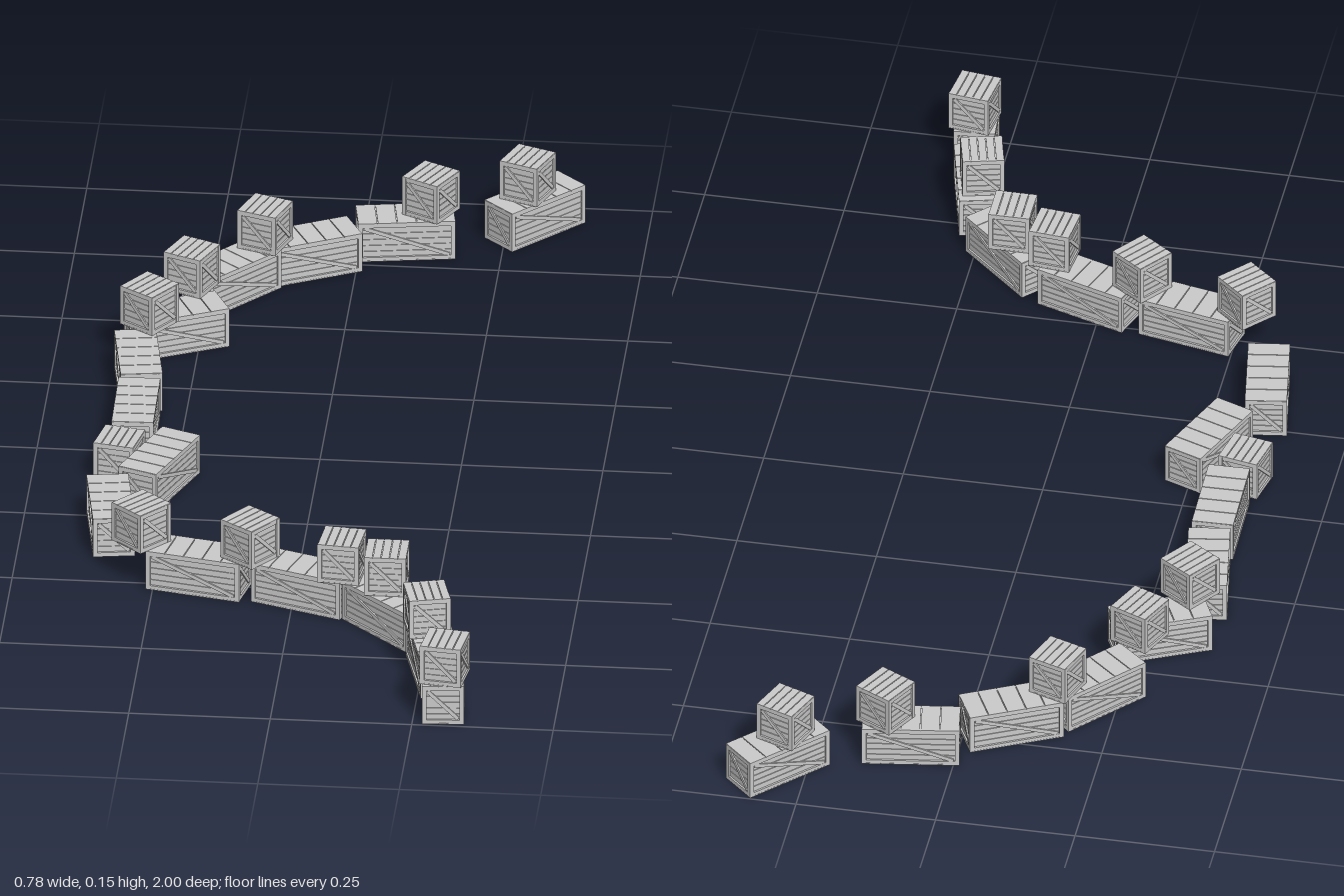
import * as THREE from 'three';
import { mergeGeometries } from 'three/addons/utils/BufferGeometryUtils.js';

const SIZE = 0.074, BAR = 0.008, INSET = 0.003;

function box(w, h, d, x, y, z, roll = 0) {
  return new THREE.BoxGeometry(w, h, d).rotateZ(roll).translate(x, y, z);
}

// One side of a crate, facing +z at z = 0: planks, border battens and a diagonal brace
function sidePanel(width) {
  const parts = [], h = SIZE, inner = h - 2 * BAR, rows = 5, step = inner / rows;
  for (let i = 0; i < rows; i++) {
    parts.push(box(width - BAR, step - 0.0015, 0.002, 0, BAR + step * (i + 0.5), -INSET - 0.001));
  }
  for (const s of [-1, 1]) {
    parts.push(box(width - 2 * BAR, BAR, 0.005, 0, h / 2 + s * (h - BAR) / 2, -0.0028));
    parts.push(box(BAR, h, 0.005, s * (width - BAR) / 2, h / 2, -0.0025));
  }
  const run = width - 2 * BAR;
  parts.push(box(Math.hypot(run, inner) - 0.006, BAR * 0.85, 0.004, 0, h / 2, -0.0026, -Math.atan2(inner, run)));
  return mergeGeometries(parts);
}

// Whole crate: core, four side panels, planked lid and floor
function crateGeometry(length, planks) {
  const w = SIZE, core = 2 * (INSET + 0.0015);
  const parts = [box(length - core, SIZE - 0.003, w - core, 0, SIZE / 2, 0)];
  for (let i = 0; i < 4; i++) {
    const across = i % 2 === 1;
    parts.push(sidePanel(across ? w : length)
      .translate(0, 0, (across ? length : w) / 2)
      .rotateY(i * Math.PI / 2));
  }
  const step = length / planks;
  for (const y of [0.001, SIZE]) {
    for (let i = 0; i < planks; i++) {
      parts.push(box(step - 0.0016, 0.002, w, -length / 2 + step * (i + 0.5), y, 0));
    }
  }
  return mergeGeometries(parts);
}

// Long crates: x, z and the direction (dx, dz) of the long axis
const LONG = [
  [0.30, -0.91, 23, -24], [0.08, -0.81, 32, -5], [-0.082, -0.72, 30, -15],
  [-0.21, -0.61, 23, -26], [-0.29, -0.415, 30, -14], [-0.342, -0.24, 5, 32],
  [-0.33, -0.055, 0.5, 32], [-0.272, 0.135, -12, 30], [-0.342, 0.318, 5, 32],
  [-0.17, 0.505, 32, 7], [0.02, 0.548, 31, 11], [0.18, 0.64, 24, 23],
  [0.272, 0.807, 8, 32],
];

// Small crates: x, z, level (0 ground, 1 stacked), turn in degrees
const SMALL = [
  [-0.347, 0.087, 0, -12], [0.302, 0.957, 0, 4], [0.305, 0.957, 1, -8],
  [0.257, 0.775, 1, 14], [0.173, 0.622, 1, 0], [0.09, 0.583, 1, -6],
  [-0.077, 0.527, 1, -37], [-0.273, 0.483, 1, -42], [-0.332, -0.352, 1, -35],
  [-0.27, -0.498, 1, -24], [-0.156, -0.672, 1, -20], [0.124, -0.82, 1, -28],
  [0.288, -0.9, 1, -22],
];

export function createModel() {
  const group = new THREE.Group();
  group.name = 'crateBarricade';
  const material = new THREE.MeshStandardMaterial({ color: 0xcccccc, flatShading: true });

  const longCrate = crateGeometry(0.172, 5);
  const smallCrate = crateGeometry(SIZE, 5);

  const place = (geometry, name, x, y, z, turn) => {
    const mesh = new THREE.Mesh(geometry, material);
    mesh.name = name;
    mesh.position.set(x, y, z);
    mesh.rotation.y = turn;
    group.add(mesh);
  };

  LONG.forEach(([x, z, dx, dz], i) => place(longCrate, `longCrate${i + 1}`, x, 0, z, Math.atan2(-dz, dx)));
  SMALL.forEach(([x, z, level, deg], i) =>
    place(smallCrate, `smallCrate${i + 1}`, x, level * 0.0755, z, THREE.MathUtils.degToRad(deg)));
  return group;
}
